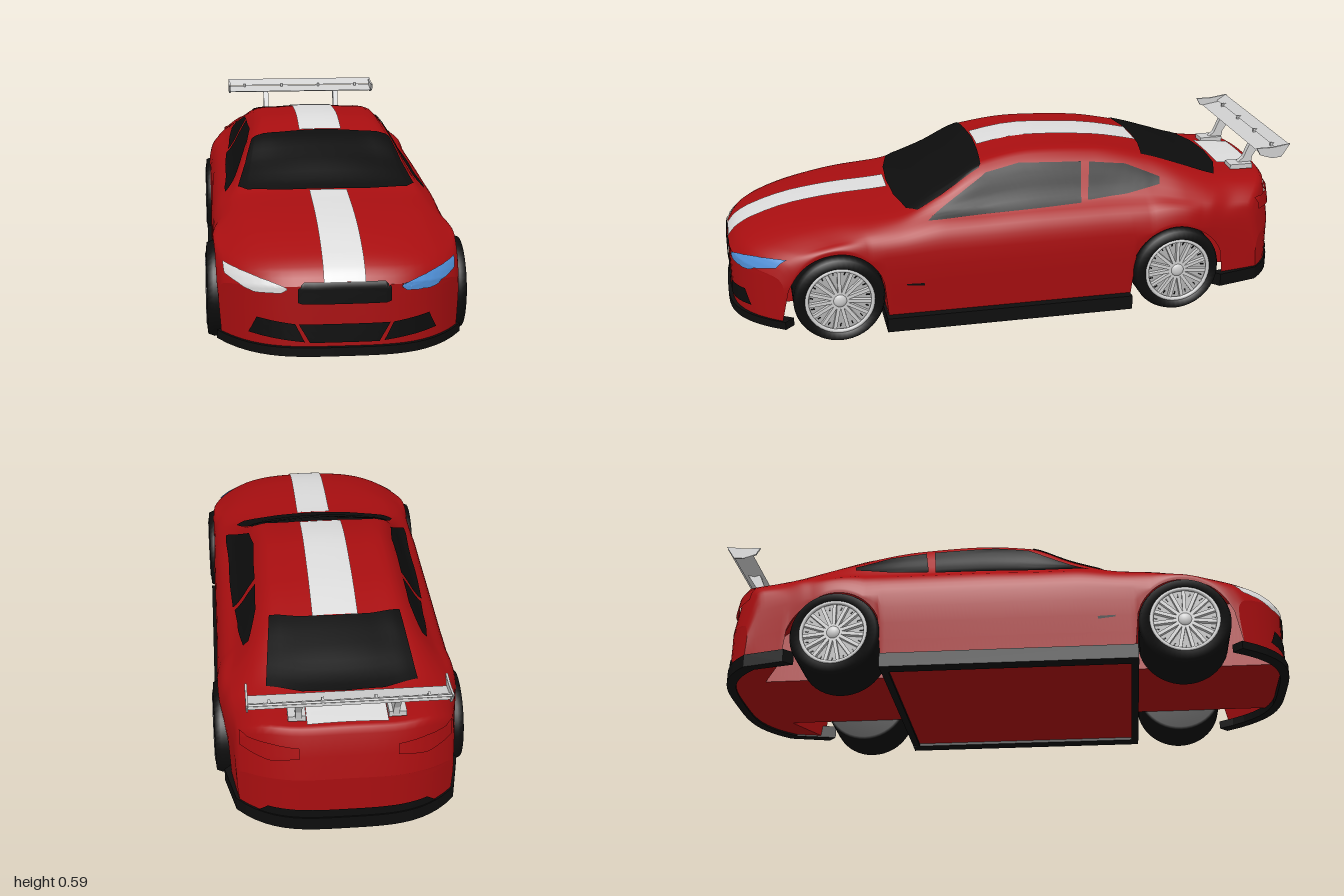
import * as THREE from 'three';

const mat = (name, color) => new THREE.MeshStandardMaterial({ name, color, side: THREE.DoubleSide });
const red = mat('red paint', 0xa80e10);
const black = mat('black trim', 0x0d0d0d);
const white = mat('white stripe', 0xdcdcdc);
const silver = mat('silver metal', 0xcfcfcf);
const grey = mat('shaded metal', 0xb2b2b2);
const blue = mat('blue lens', 0x4f8fd6);

const FRONT = 0.985, REAR = -0.99, WHEEL_Z = [0.63, -0.56], WHEEL_R = 0.155;

// Body stations: z, bottom w, waist w/y, shoulder w/y, roof edge w/y, crown y
const stations = [
  [-0.99, 0.335, 0.345, 0.18, 0.33, 0.23, 0.25, 0.25, 0.26],
  [-0.955, 0.345, 0.35, 0.27, 0.335, 0.36, 0.26, 0.41, 0.425],
  [-0.85, 0.36, 0.367, 0.29, 0.34, 0.37, 0.27, 0.42, 0.437],
  [-0.76, 0.37, 0.38, 0.3, 0.35, 0.385, 0.26, 0.435, 0.447],
  [-0.62, 0.38, 0.393, 0.3, 0.345, 0.4, 0.25, 0.475, 0.495],
  [-0.48, 0.38, 0.395, 0.3, 0.325, 0.415, 0.23, 0.52, 0.537],
  [-0.3, 0.38, 0.393, 0.3, 0.315, 0.42, 0.225, 0.552, 0.57],
  [-0.08, 0.38, 0.393, 0.3, 0.315, 0.42, 0.225, 0.562, 0.583],
  [0.1, 0.38, 0.393, 0.3, 0.315, 0.415, 0.238, 0.54, 0.557],
  [0.26, 0.38, 0.393, 0.3, 0.32, 0.41, 0.278, 0.455, 0.49],
  [0.42, 0.38, 0.392, 0.29, 0.345, 0.375, 0.3, 0.398, 0.418],
  [0.6, 0.38, 0.391, 0.28, 0.36, 0.355, 0.29, 0.385, 0.406],
  [0.75, 0.375, 0.388, 0.27, 0.362, 0.34, 0.28, 0.365, 0.387],
  [0.89, 0.37, 0.383, 0.25, 0.36, 0.315, 0.28, 0.33, 0.347],
  [0.96, 0.37, 0.38, 0.22, 0.36, 0.28, 0.28, 0.295, 0.307],
  [0.985, 0.368, 0.375, 0.2, 0.358, 0.24, 0.27, 0.26, 0.272],
];

// Monotone cubic interpolation between stations
function stationAt(z) {
  let k = 0;
  while (k < stations.length - 2 && z > stations[k + 1][0]) k++;
  const secant = (i, c) => {
    i = THREE.MathUtils.clamp(i, 0, stations.length - 2);
    return (stations[i + 1][c] - stations[i][c]) / (stations[i + 1][0] - stations[i][0]);
  };
  const slope = (i, c) => {
    const a = secant(i - 1, c), b = secant(i, c);
    return a * b > 0 ? 2 * a * b / (a + b) : 0;
  };
  const A = stations[k], B = stations[k + 1], h = B[0] - A[0], t = (z - A[0]) / h;
  return A.map((a, c) => a * (1 + 2 * t) * (1 - t) ** 2 + B[c] * t * t * (3 - 2 * t)
    + h * (c ? slope(k, c) * t * (1 - t) ** 2 - slope(k + 1, c) * t * t * (1 - t) : 0));
}

// Rounds the nose and tail in plan
function warp(z, x) {
  const f = THREE.MathUtils.smoothstep(z, 0.45, 1), r = THREE.MathUtils.smoothstep(-z, 0.5, 1);
  return z - f * 0.18 * Math.abs(x / 0.38) ** 3.5 + r * 0.13 * Math.abs(x / 0.36) ** 3.5;
}

// Lower body edge, raised over the wheels
function sillY(z) {
  const r = WHEEL_R + 0.004;
  for (const w of WHEEL_Z) {
    const d = Math.abs(warp(z, 0.385) - w);
    if (d < r) return WHEEL_R + Math.sqrt(r * r - d * d);
  }
  return 0.07;
}

function lowerEdge(z) {
  const [, wb, wm, ym] = stationAt(z), y = sillY(z);
  return [THREE.MathUtils.lerp(wb, wm, Math.min(1, (y - 0.07) / (ym - 0.07))), y];
}

function section(z) {
  const [, , wm, ym0, ws, ys, wr, yr, yt] = stationAt(z);
  const [wb, yb] = lowerEdge(z), ym = Math.max(ym0, yb + 0.015);
  const half = [[wb, yb], [wm, ym], [wm * 0.4 + ws * 0.6 + 0.3 * (wm - ws), ym * 0.4 + ys * 0.6],
    [ws, ys], [wr, yr], [wr * 0.55, yr + 0.72 * (yt - yr)]];
  const pts = [...half.map(([x, y]) => [-x, y]), [0, yt], ...half.reverse()];
  return new THREE.CatmullRomCurve3(pts.map(([x, y]) => new THREE.Vector3(x, y, 0))).getPoints(48);
}

// Surface from a grid of points
function grid(nu, nv, point) {
  const pos = [], idx = [];
  for (let i = 0; i <= nu; i++) for (let j = 0; j <= nv; j++) {
    pos.push(...point(i, j));
    if (i < nu && j < nv) {
      const a = i * (nv + 1) + j, b = a + nv + 1;
      idx.push(a, b, a + 1, b, b + 1, a + 1);
    }
  }
  const g = new THREE.BufferGeometry();
  g.setAttribute('position', new THREE.Float32BufferAttribute(pos, 3));
  g.setIndex(idx);
  g.computeVertexNormals();
  return g;
}

function sample(line, t) {
  const f = t * (line.length - 1), k = Math.min(Math.floor(f), line.length - 2);
  return [0, 1].map(c => THREE.MathUtils.lerp(line[k][c], line[k + 1][c], f - k));
}

export function createModel() {
  const car = new THREE.Group();
  const add = (name, geo, m, parent = car) => {
    const mesh = new THREE.Mesh(geo, m);
    mesh.name = name;
    parent.add(mesh);
    return mesh;
  };
  const box = (name, m, w, h, d, x, y, z, parent) => {
    const b = add(name, new THREE.BoxGeometry(w, h, d), m, parent);
    b.position.set(x, y, z);
    return b;
  };

  // Body shell, end faces and floor with wheel wells
  const N = 144, zAt = i => REAR + (FRONT - REAR) * i / N;
  const sections = Array.from({ length: N + 1 }, (_, i) => section(zAt(i)));
  const shell = add('bodyShell', grid(N, 48, (i, j) => {
    const p = sections[i][j];
    return [p.x, p.y, warp(zAt(i), p.x)];
  }), red);
  const endFace = (name, sec, z, s) => add(name, grid(24, 24, (i, j) => {
    const x = s * sec[48 - j].x * (i / 12 - 1);
    return [x, sec[j].y, warp(z, x)];
  }), red);
  const skin = [shell, endFace('frontFace', sections[N], FRONT, 1), endFace('rearFace', sections[0], REAR, -1)];
  add('underbody', grid(5, N, (i, j) => {
    const z = zAt(j), [w, y] = lowerEdge(z);
    const x = [-w, -0.2, -0.2, 0.2, 0.2, w][i];
    return [x, i === 2 || i === 3 ? 0.07 : y, warp(z, x)];
  }).toNonIndexed(), red).geometry.computeVertexNormals();

  // Thin panel laid on the body between two outlines, projected along an axis
  const caster = new THREE.Raycaster();
  function panel(name, m, axis, sign, lower, upper, lift = 0.004) {
    const dir = new THREE.Vector3();
    dir[axis] = -sign;
    add(name, grid(24, 10, (i, j) => {
      const a = sample(lower, i / 24), b = sample(upper, i / 24);
      const [p, q] = [0, 1].map(c => THREE.MathUtils.lerp(a[c], b[c], j / 10));
      const o = axis === 'x' ? new THREE.Vector3(2 * sign, q, p)
        : axis === 'y' ? new THREE.Vector3(p, 2, q) : new THREE.Vector3(p, q, 2 * sign);
      caster.set(o, dir);
      const hit = caster.intersectObjects(skin)[0];
      return (hit ? hit.point.addScaledVector(hit.face.normal, lift) : o.setComponent('xyz'.indexOf(axis), 0)).toArray();
    }), m);
  }
  const flip = pts => pts.map(([x, y]) => [-x, y]);

  // Glass and stripes on top
  panel('windshield', black, 'y', 1,
    [[-0.3, 0.345], [-0.27, 0.38], [-0.14, 0.407], [0, 0.415], [0.14, 0.407], [0.27, 0.38], [0.3, 0.345]],
    [[-0.243, 0.12], [-0.23, 0.112], [-0.12, 0.102], [0, 0.098], [0.12, 0.102], [0.23, 0.112], [0.243, 0.12]]);
  panel('rearWindow', black, 'y', 1,
    [[-0.215, -0.47], [-0.11, -0.49], [0, -0.495], [0.11, -0.49], [0.215, -0.47]],
    [[-0.24, -0.74], [-0.13, -0.78], [0, -0.79], [0.13, -0.78], [0.24, -0.74]]);
  const stripe = (name, w, z0, z1) => panel(name, white, 'y', 1, [[-w, z0], [w, z0]], [[-w, z1], [w, z1]]);
  stripe('hoodStripeFront', 0.063, 0.98, 0.9);
  stripe('hoodStripe', 0.063, 0.9, 0.42);
  stripe('roofStripe', 0.075, 0.095, -0.492);
  stripe('deckPlate', 0.125, -0.795, -0.93);

  // Side glass, vents, lamps and outer intakes
  for (const s of [1, -1]) {
    const m = pts => (s > 0 ? pts : flip(pts));
    panel('sideWindow', black, 'x', s,
      [[0.315, 0.39], [0.19, 0.394], [0.05, 0.398], [-0.1, 0.402], [-0.225, 0.406]],
      [[0.3, 0.4], [0.2, 0.458], [0.1, 0.518], [-0.02, 0.54], [-0.24, 0.53]]);
    panel('quarterWindow', black, 'x', s,
      [[-0.25, 0.412], [-0.39, 0.422], [-0.515, 0.443]],
      [[-0.27, 0.528], [-0.4, 0.512], [-0.52, 0.464]]);
    panel('sideVent', black, 'x', s, [[0.4, 0.182], [0.34, 0.176]], [[0.4, 0.188], [0.34, 0.186]]);
    panel('headlight', s > 0 ? blue : white, 'z', 1,
      m([[0.172, 0.258], [0.19, 0.247], [0.27, 0.243], [0.353, 0.27]]),
      m([[0.172, 0.264], [0.225, 0.279], [0.29, 0.291], [0.358, 0.297]]), 0.005);
    panel('outerIntake', black, 'z', 1,
      m([[0.285, 0.112], [0.12, 0.095]]), m([[0.26, 0.165], [0.148, 0.152]]));
    panel('taillight', red, 'z', -1,
      m([[0.15, 0.335], [0.24, 0.318], [0.325, 0.33]]), m([[0.15, 0.37], [0.24, 0.376], [0.325, 0.372]]), 0.009);
  }
  panel('grille', black, 'z', 1,
    [[-0.14, 0.22], [-0.125, 0.215], [0.125, 0.215], [0.14, 0.22]],
    [[-0.14, 0.262], [-0.12, 0.279], [0.12, 0.279], [0.14, 0.262]], 0.006);
  panel('centreIntake', black, 'z', 1, [[-0.105, 0.093], [0.105, 0.093]], [[-0.138, 0.152], [0.138, 0.152]]);
  panel('rearValance', black, 'z', -1, [[-0.3, 0.09], [0.3, 0.09]], [[-0.25, 0.14], [0.25, 0.14]]);

  // Curved lower lips at both ends
  function lip(name, z, w, top, height, ends) {
    const outer = [];
    for (let i = 0; i <= 24; i++) {
      const x = w * (i / 12 - 1);
      outer.push([x, warp(z, x)]);
    }
    if (ends) {
      outer.unshift([-ends[0], ends[1]]);
      outer.push(ends);
    }
    const inner = outer.map(([x, zz]) => [x * 0.92, zz - Math.sign(z) * 0.03]).reverse();
    const shape = new THREE.Shape([...outer, ...inner].map(p => new THREE.Vector2(...p)));
    const g = new THREE.ExtrudeGeometry(shape, { depth: height, bevelEnabled: false });
    add(name, g.rotateX(Math.PI / 2).translate(0, top, 0), black);
  }
  lip('frontSplitter', 0.998, 0.382, 0.08, 0.028);
  lip('rearDiffuser', -0.998, 0.35, 0.11, 0.046, [0.384, -0.735]);

  // Sills and floor frame
  for (const s of [1, -1]) box('sideSill', black, 0.05, 0.05, 0.87, s * 0.385, 0.045, 0.037);
  for (const z of [0.46, -0.385]) box('floorCrossbar', black, 0.78, 0.045, 0.025, 0, 0.043, z);
  box('floorPanel', red, 0.73, 0.04, 0.83, 0, 0.05, 0.037);

  // Wheels
  const tyre = new THREE.LatheGeometry([[0, 0.205], [0.147, 0.205], [0.155, 0.215], [0.155, 0.39],
    [0.147, 0.41], [0.118, 0.413], [0.115, 0.385]].map(p => new THREE.Vector2(...p)), 48).rotateZ(-Math.PI / 2);
  for (const z of WHEEL_Z) for (const s of [1, -1]) {
    const wheel = new THREE.Group();
    wheel.name = 'wheel';
    wheel.position.set(0, WHEEL_R, z);
    wheel.rotation.y = s > 0 ? 0 : Math.PI;
    car.add(wheel);
    add('tyre', tyre, black, wheel);
    add('rimDisc', new THREE.CylinderGeometry(0.116, 0.116, 0.006, 40).rotateZ(Math.PI / 2), grey, wheel).position.x = 0.392;
    add('rimRing', new THREE.TorusGeometry(0.112, 0.007, 8, 40).rotateY(Math.PI / 2), silver, wheel).position.x = 0.408;
    add('hub', new THREE.SphereGeometry(0.024, 20, 12).scale(0.5, 1, 1), silver, wheel).position.x = 0.405;
    for (let i = 0; i < 15; i++) {
      const spoke = new THREE.Group();
      spoke.rotation.x = i * Math.PI * 2 / 15;
      wheel.add(spoke);
      box('spoke', silver, 0.014, 0.1, 0.012, 0.402, 0.06, 0, spoke);
      box('rimSlot', black, 0.004, 0.012, 0.004, 0.395, 0.094, 0.019, spoke);
    }
  }

  // Rear wing: profiles in (-z, y) extruded across x
  const slab = (name, pts, width, x) => {
    const g = new THREE.ExtrudeGeometry(new THREE.Shape(pts.map(p => new THREE.Vector2(...p))), { depth: width, bevelEnabled: false });
    add(name, g.rotateY(Math.PI / 2).translate(x - width / 2, 0, 0), silver);
  };
  slab('wingMainPlane', [[0.895, 0.524], [0.93, 0.515], [0.97, 0.527], [0.968, 0.536], [0.93, 0.53]], 0.61, 0);
  slab('wingFlap', [[0.955, 0.54], [0.972, 0.54], [0.993, 0.556], [0.99, 0.562]], 0.61, 0);
  for (const s of [1, -1]) {
    slab('wingEndPlate', [[0.87, 0.552], [0.885, 0.526], [0.93, 0.512], [0.965, 0.515], [0.995, 0.562], [0.93, 0.552]], 0.007, s * 0.306);
    slab('wingStrut', [[0.855, 0.44], [0.915, 0.44], [0.92, 0.47], [0.955, 0.525], [0.91, 0.525], [0.885, 0.465]], 0.02, s * 0.15);
    box('wingFoot', silver, 0.055, 0.018, 0.085, s * 0.155, 0.44, -0.87);
    for (const x of [0.08, 0.24]) box('flapBracket', silver, 0.008, 0.02, 0.02, s * x, 0.537, -0.96);
  }
  return car;
}
